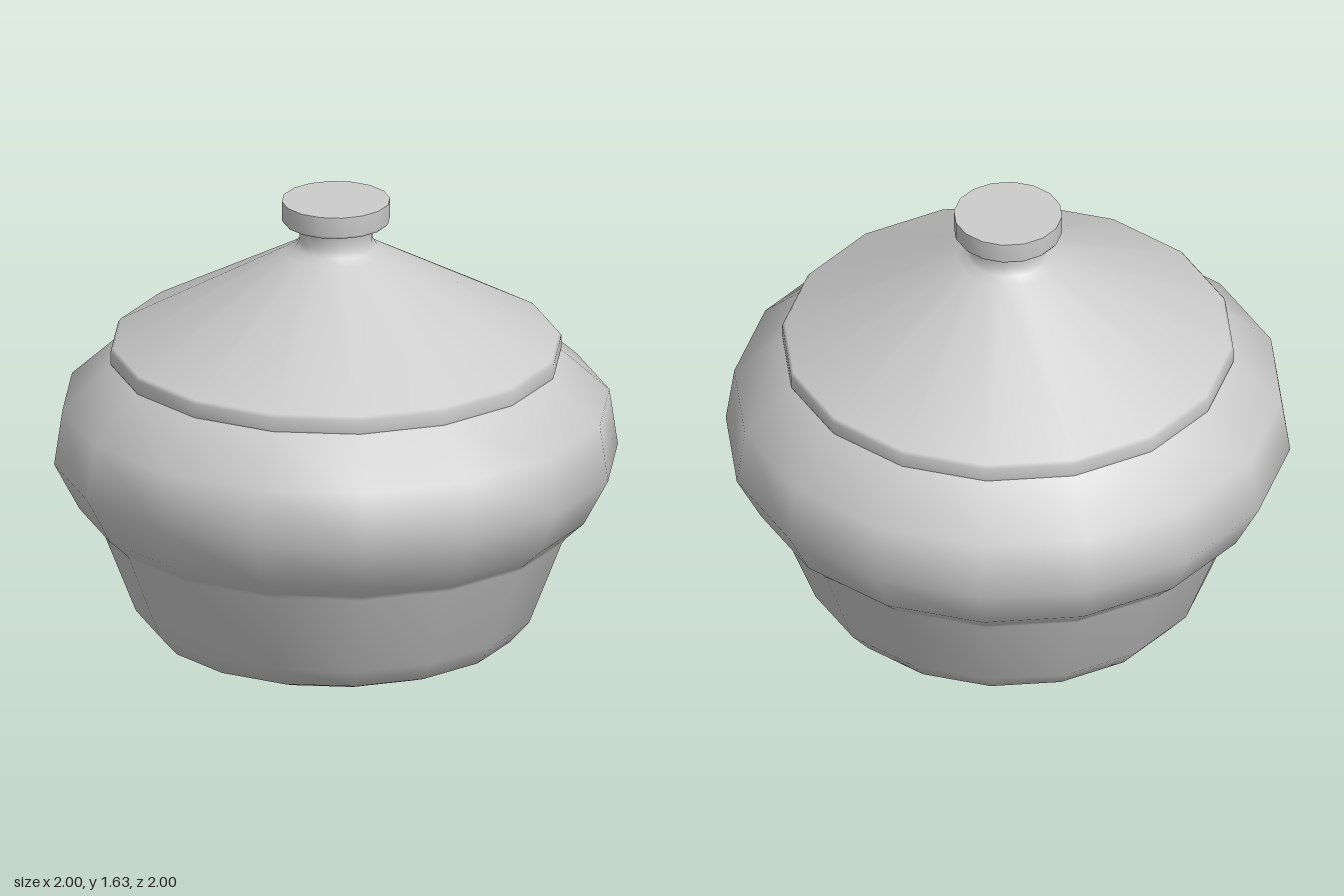
import * as THREE from 'three';

const SIDES = 16;
const material = new THREE.MeshStandardMaterial({ color: 0xcccccc, side: THREE.DoubleSide });

// Turn a [radius, height] profile, listed from bottom to top, around the y axis.
function turned(name, profile) {
  const points = profile.map(([r, y]) => new THREE.Vector2(r, y));
  const mesh = new THREE.Mesh(new THREE.LatheGeometry(points, SIDES), material);
  mesh.name = name;
  return mesh;
}

export function createModel() {
  const pot = new THREE.Group();
  pot.name = 'lidded pot';

  // Pot: footed base, tapered lower wall, bulging shoulder and rim tucked under the lid
  const bowl = turned('bowl', [
    [0, 0], [0.52, 0], [0.55, 0.005], [0.64, 0.04], [0.71, 0.12],
    [0.83, 0.43], [0.845, 0.45], [0.91, 0.51], [1, 0.68],
    [0.97, 0.885], [0.79, 1.05], [0.74, 1.06],
  ]);

  // Lid: underside, short upright rim, straight cone and narrow neck
  const lid = new THREE.Group();
  lid.name = 'lid';
  lid.add(
    turned('lidUnderside', [[0, 1.04], [0.795, 1.04]]),
    turned('lidCone', [
      [0.795, 1.04], [0.8, 1.05], [0.8, 1.095], [0.79, 1.108],
      [0.18, 1.445], [0.145, 1.465], [0.13, 1.49], [0.13, 1.535], [0.14, 1.555],
    ]),
  );

  // Knob: flat disc with crisp edges
  const knob = new THREE.Group();
  knob.name = 'knob';
  knob.add(
    turned('knobUnderside', [[0.13, 1.555], [0.185, 1.555]]),
    turned('knobSide', [[0.185, 1.555], [0.192, 1.565], [0.192, 1.635]]),
    turned('knobTop', [[0.192, 1.635], [0, 1.635]]),
  );

  pot.add(bowl, lid, knob);
  return pot;
}
